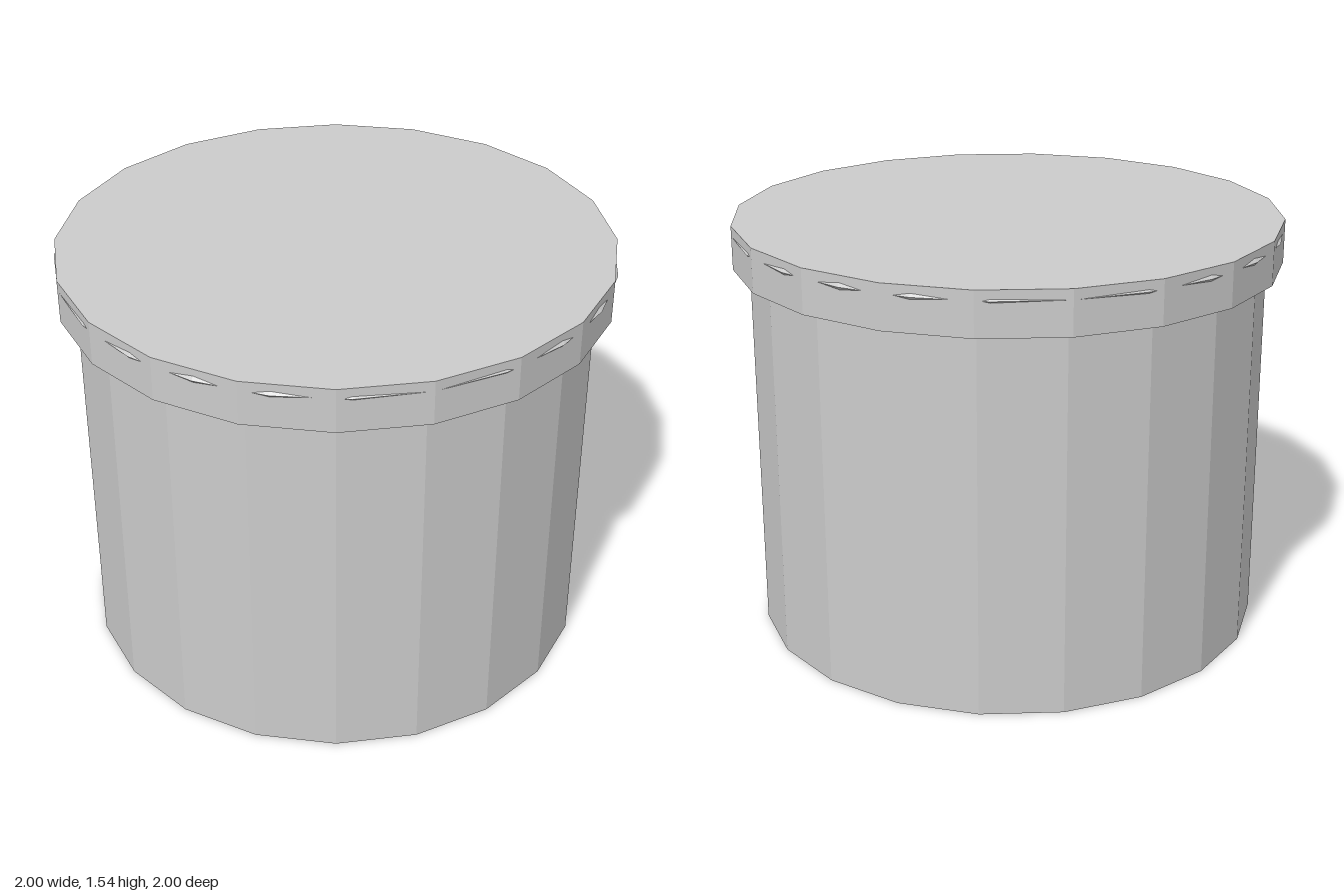
import * as THREE from 'three';

const SIDES = 20;

export function createModel() {
  const group = new THREE.Group();
  const material = new THREE.MeshStandardMaterial({ color: 0xcccccc, flatShading: true });

  const add = (name, geometry, y) => {
    const mesh = new THREE.Mesh(geometry, material);
    mesh.name = name;
    mesh.position.y = y;
    group.add(mesh);
  };

  // Straight-sided container
  add('body', new THREE.CylinderGeometry(0.94, 0.94, 1.38, SIDES), 0.69);

  // Overhanging cap
  add('lid', new THREE.CylinderGeometry(1, 1, 0.16, SIDES), 1.46);

  // Diamond-section ring whose corners just break through the lid's flat sides
  const ring = new THREE.TorusGeometry(0.9695, 0.03, 4, 24).rotateX(Math.PI / 2);
  add('lidRing', ring, 1.503);

  return group;
}
